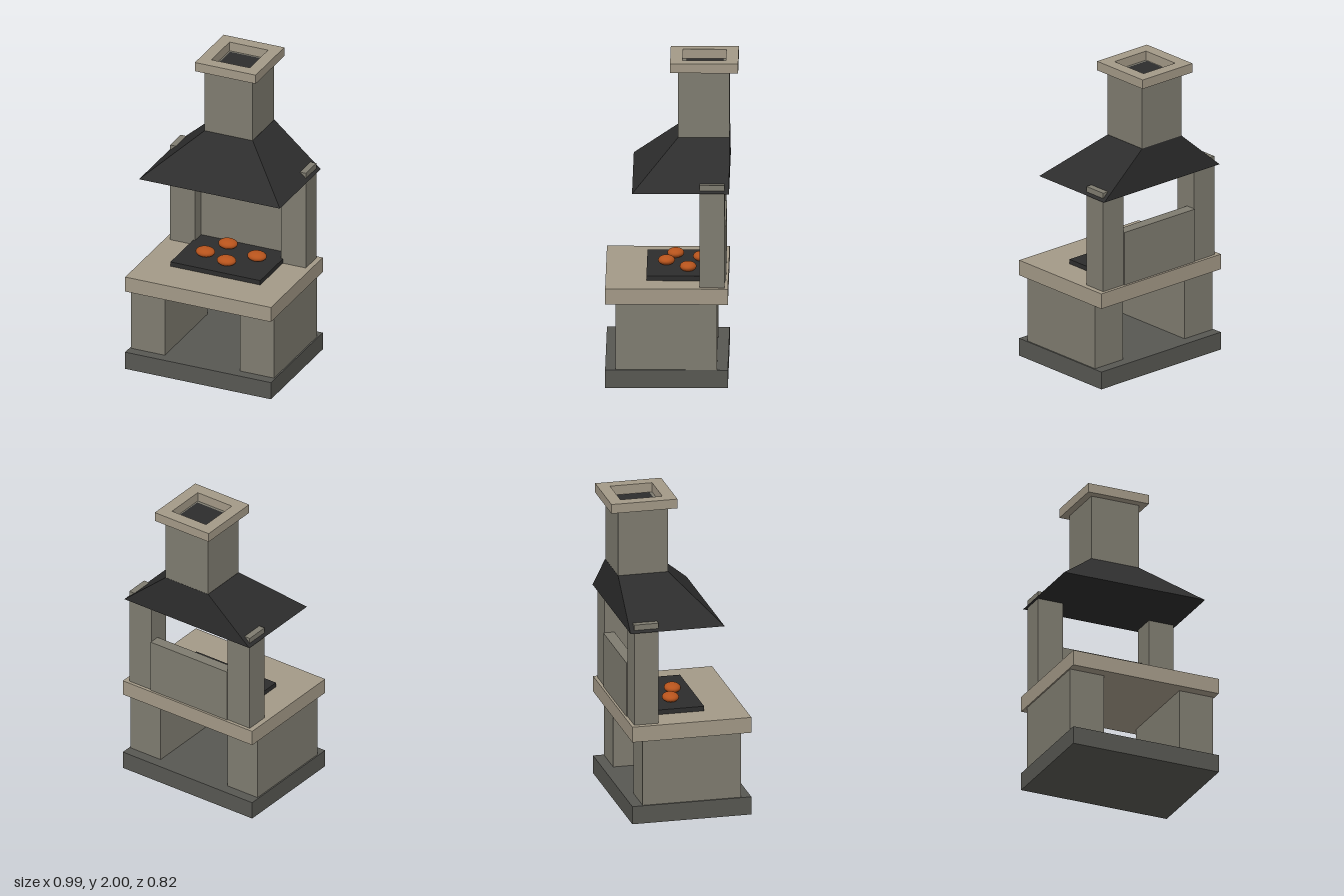
import * as THREE from 'three';

function mat(name, color) {
  const m = new THREE.MeshStandardMaterial({ color });
  m.name = name;
  return m;
}

export function createModel() {
  const stone = mat('greyStone', 0x7f7c70);
  const slabMat = mat('paleStone', 0xa39987);
  const baseMat = mat('darkStone', 0x575752);
  const iron = mat('blackIron', 0x2d2d2d);
  const foodMat = mat('roastedFood', 0xb6531c);

  const group = new THREE.Group();
  group.name = 'barbecueFireplace';

  const add = (name, geometry, material) => {
    const mesh = new THREE.Mesh(geometry, material);
    mesh.name = name;
    group.add(mesh);
    return mesh;
  };
  // box from its limits on each axis
  const block = (name, material, [x0, x1], [y0, y1], [z0, z1]) => {
    const g = new THREE.BoxGeometry(x1 - x0, y1 - y0, z1 - z0);
    g.translate((x0 + x1) / 2, (y0 + y1) / 2, (z0 + z1) / 2);
    return add(name, g, material);
  };
  // a block and its mirror image across x = 0
  const pair = (name, material, [x0, x1], y, z) => {
    block(name + 'Left', material, [x0, x1], y, z);
    block(name + 'Right', material, [-x1, -x0], y, z);
  };

  // plinth, legs and worktop
  block('base', baseMat, [-0.497, 0.497], [0, 0.115], [-0.35, 0.409]);
  pair('leg', stone, [0.257, 0.488], [0.115, 0.535], [-0.282, 0.344]);
  block('worktop', slabMat, [-0.497, 0.497], [0.535, 0.635], [-0.35, 0.409]);

  // posts reach just through the hood; low wall between them
  pair('post', stone, [0.293, 0.463], [0.635, 1.29], [-0.329, -0.175]);
  block('backWall', stone, [-0.293, 0.293], [0.635, 0.985], [-0.336, -0.265]);

  // cooking plate and food
  block('griddle', iron, [-0.306, 0.306], [0.635, 0.665], [-0.268, 0.156]);
  const foodGeo = new THREE.SphereGeometry(1, 24, 16).scale(0.062, 0.03, 0.052);
  [[-0.15, -0.02], [0.02, 0.035], [-0.07, -0.18], [0.165, -0.1]].forEach(([x, z], i) => {
    add('food' + (i + 1), foodGeo, foodMat).position.set(x, 0.69, z);
  });

  // hood: a box whose top is drawn in, leaving the back upright
  const hood = new THREE.BoxGeometry(2, 2, 2).toNonIndexed();
  const p = hood.attributes.position;
  for (let i = 0; i < p.count; i++) {
    const top = p.getY(i) > 0;
    const front = p.getZ(i) > 0;
    p.setXYZ(
      i,
      p.getX(i) * (top ? 0.164 : 0.48),
      top ? 1.515 : 1.24,
      front ? (top ? -0.038 : 0.243) : -0.357
    );
  }
  hood.computeVertexNormals();
  add('hood', hood, iron);

  // chimney with dark flue opening
  block('chimney', stone, [-0.163, 0.163], [1.515, 1.94], [-0.356, -0.038]);
  block('flueOpening', iron, [-0.12, 0.12], [1.935, 1.943], [-0.316, -0.086]);

  // chimney cap made of four bars
  pair('capSide', slabMat, [0.131, 0.207], [1.94, 2], [-0.41, 0.011]);
  block('capFront', slabMat, [-0.131, 0.131], [1.94, 2], [-0.066, 0.011]);
  block('capBack', slabMat, [-0.131, 0.131], [1.94, 2], [-0.41, -0.334]);

  return group;
}
